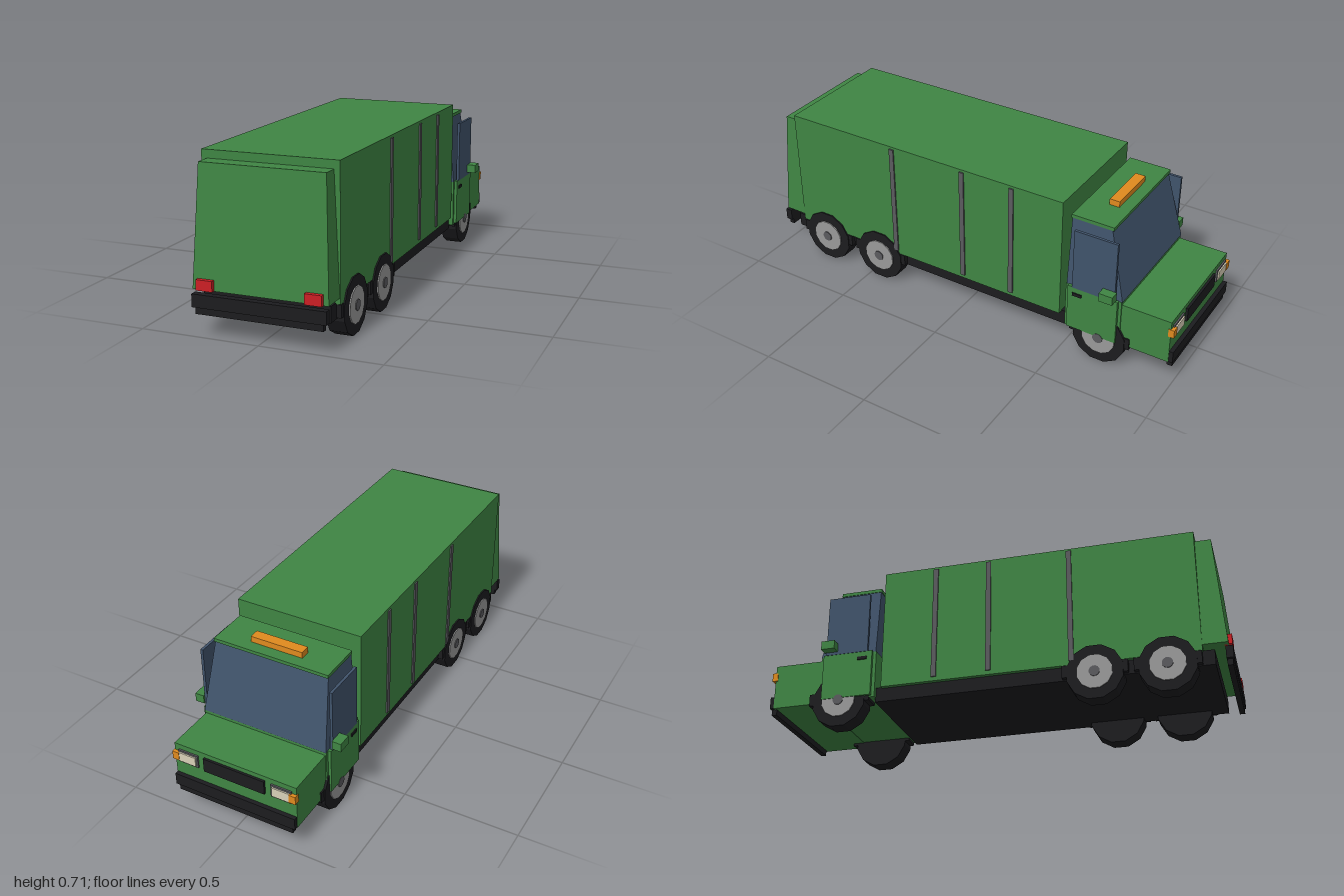
import * as THREE from 'three';

const mat = (color) => new THREE.MeshStandardMaterial({ color, flatShading: true });

export function createModel() {
  const truck = new THREE.Group();
  truck.name = 'garbageTruck';
  const green = mat(0x3f8543), black = mat(0x1c1c1f), glass = mat(0x40536b), steel = mat(0x5a5a5e);
  const rimGrey = mat(0x999999), amber = mat(0xe08a1e), red = mat(0xcc1f24), lens = mat(0xd8d0b8);

  const add = (name, geometry, material, parent = truck) => {
    const mesh = new THREE.Mesh(geometry, material);
    mesh.name = name;
    parent.add(mesh);
    return mesh;
  };

  // Box given by its limits on each axis
  const box = (name, material, [x0, x1], [y0, y1], [z0, z1]) => {
    const g = new THREE.BoxGeometry(x1 - x0, y1 - y0, z1 - z0);
    g.translate((x0 + x1) / 2, (y0 + y1) / 2, (z0 + z1) / 2);
    return add(name, g, material);
  };

  // The same box on both sides of the truck
  const pair = (name, material, [x0, x1], y, z) => {
    box(name + 'Left', material, [x0, x1], y, z);
    box(name + 'Right', material, [-x1, -x0], y, z);
  };

  // Box whose top has its own half width and z limits
  const taperedBox = (name, material, [y0, y1], bottom, top) => {
    const g = new THREE.BoxGeometry(2, 1, 1);
    const p = g.attributes.position;
    for (let i = 0; i < p.count; i++) {
      const end = p.getY(i) > 0 ? top : bottom;
      p.setXYZ(i, p.getX(i) * end.w, p.getY(i) > 0 ? y1 : y0, p.getZ(i) > 0 ? end.z[1] : end.z[0]);
    }
    g.computeVertexNormals();
    return add(name, g, material);
  };

  // Chassis, cargo body and tailgate
  box('chassis', black, [-0.265, 0.265], [0.1, 0.165], [-0.515, 0.927]);
  box('cargoBody', green, [-0.284, 0.284], [0.16, 0.706], [-0.485, 0.88]);
  taperedBox('tailgate', green, [0.185, 0.672], { w: 0.281, z: [0.87, 0.983] }, { w: 0.26, z: [0.87, 0.948] });
  for (const z of [0.347, -0.008, -0.248]) {
    pair('bodyRib', steel, [0.27, 0.29], [0.178, 0.695], [z - 0.011, z + 0.011]);
  }

  // Cab, hood and roof
  box('cabBase', green, [-0.285, 0.285], [0.118, 0.33], [-0.765, -0.512]);
  box('hood', green, [-0.28, 0.28], [0.116, 0.315], [-0.982, -0.76]);
  taperedBox('cabGlass', glass, [0.33, 0.637], { w: 0.284, z: [-0.768, -0.515] }, { w: 0.257, z: [-0.692, -0.515] });
  box('cabRoof', green, [-0.26, 0.26], [0.635, 0.65], [-0.7, -0.512]);
  box('roofBeacon', amber, [-0.117, 0.117], [0.65, 0.676], [-0.65, -0.605]);
  pair('door', green, [0.28, 0.298], [0.125, 0.332], [-0.752, -0.527]);
  pair('doorWindow', glass, [0.288, 0.3], [0.33, 0.607], [-0.74, -0.548]);
  pair('doorHandle', black, [0.29, 0.303], [0.292, 0.306], [-0.592, -0.55]);
  pair('mirror', green, [0.3, 0.34], [0.343, 0.381], [-0.748, -0.687]);

  // Front face
  box('grille', black, [-0.14, 0.14], [0.232, 0.295], [-0.992, -0.975]);
  pair('headlightBezel', steel, [0.168, 0.26], [0.234, 0.292], [-0.989, -0.975]);
  pair('headlightLens', lens, [0.176, 0.253], [0.242, 0.284], [-0.995, -0.98]);
  pair('turnSignal', amber, [0.253, 0.283], [0.245, 0.282], [-0.997, -0.972]);

  // Bumpers at both ends, each with a narrower lower lip
  for (const [end, s] of [['front', -1], ['rear', 1]]) {
    const span = (a, b) => (s > 0 ? [a, b] : [-b, -a]);
    box(end + 'Bumper', black, [-0.278, 0.278], [0.117, 0.17], span(0.97, 1));
    box(end + 'BumperLip', black, [-0.265, 0.265], [0.09, 0.12], span(0.972, 0.995));
  }
  pair('tailLight', red, [0.19, 0.259], [0.185, 0.228], [0.965, 0.998]);

  // Wheels with rims, hub caps and dark guard blocks
  const disc = (name, material, radius, x0, x1, parent) => {
    const g = new THREE.CylinderGeometry(radius, radius, x1 - x0, 12);
    g.rotateY(Math.PI / 12).rotateZ(-Math.PI / 2).translate((x0 + x1) / 2, 0, 0);
    return add(name, g, material, parent);
  };
  const axles = { front: -0.673, middle: 0.443, rear: 0.74 };
  for (const [axle, z] of Object.entries(axles)) {
    for (const side of [1, -1]) {
      const wheel = new THREE.Group();
      wheel.name = axle + 'Wheel' + (side > 0 ? 'Left' : 'Right');
      disc('tyre', black, 0.121, -0.037, 0.038, wheel);
      disc('rim', rimGrey, 0.076, 0.03, 0.043, wheel);
      disc('hubCap', steel, 0.023, 0.04, 0.047, wheel);
      wheel.position.set(side * 0.252, 0.117, z);
      if (side < 0) wheel.rotation.y = Math.PI;
      truck.add(wheel);
    }
    pair(axle + 'WheelGuard', black, [0.215, 0.286], [0.105, 0.158], [z - 0.137, z + 0.137]);
  }

  return truck;
}
